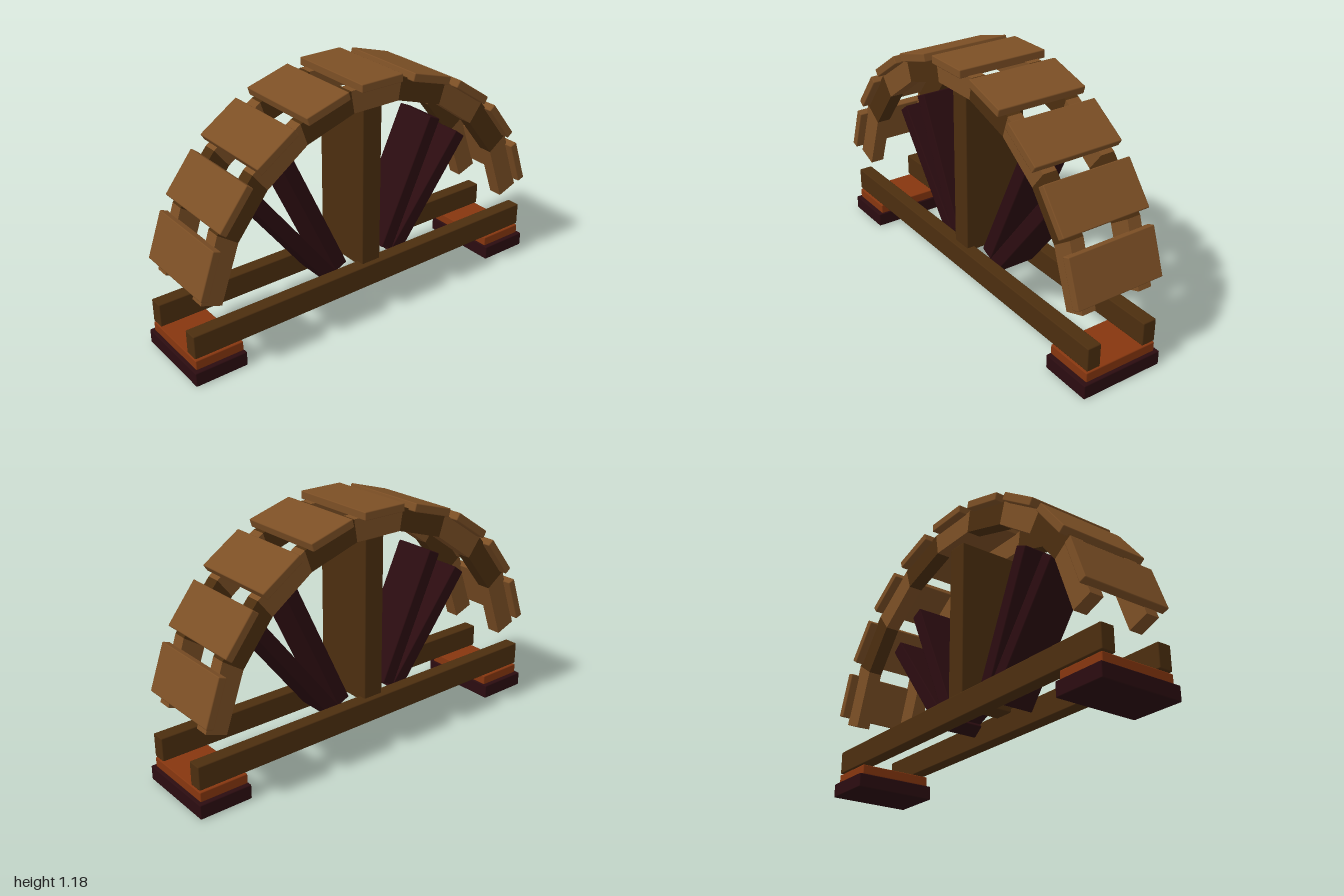
import * as THREE from 'three';
import { RoundedBoxGeometry } from 'three/addons/geometries/RoundedBoxGeometry.js';

const material = (name, color) => {
  const m = new THREE.MeshStandardMaterial({ color });
  m.name = name;
  return m;
};

export function createModel() {
  const group = new THREE.Group();
  const lightWood = material('light wood', 0x7c4f25);
  const darkWood = material('dark wood', 0x4c2e0f);
  const maroon = material('dark maroon wood', 0x2b0c10);
  const rust = material('rust wood', 0x86360f);

  // Beam with slightly softened edges, centred at (x, y, z), turned about z
  const beam = (name, mat, [w, h, d], [x, y, z], angle = 0) => {
    const mesh = new THREE.Mesh(new RoundedBoxGeometry(w, h, d, 1, 0.005), mat);
    mesh.name = name;
    mesh.position.set(x, y, z);
    mesh.rotation.z = angle;
    group.add(mesh);
  };

  // Feet with spacer blocks
  for (const s of [-1, 1]) {
    beam('foot', maroon, [0.26, 0.07, 0.42], [s * 0.87, 0.035, 0]);
    beam('footSpacer', rust, [0.24, 0.048, 0.38], [s * 0.865, 0.094, 0]);
    beam('baseBeam', darkWood, [1.97, 0.115, 0.07], [0, 0.183, s * 0.153]);
  }

  // Central post
  beam('centrePost', darkWood, [0.106, 0.81, 0.32], [0, 0.627, 0]);

  // Slanted braces, given by their two axis ends
  const braces = [
    [[0.187, 0.19], [0.602, 0.728]],
    [[0.14, 0.238], [0.428, 0.857]],
  ];
  for (const s of [-1, 1]) {
    for (const [[x0, y0], [x1, y1]] of braces) {
      const length = Math.hypot(x1 - x0, y1 - y0);
      beam('brace', maroon, [0.07, length, 0.22],
        [s * (x0 + x1) / 2, (y0 + y1) / 2, 0], -s * Math.atan2(x1 - x0, y1 - y0));
    }
  }

  // Joints of the arch on one half: inner x, y and outer x, y
  const half = [
    [0.125, 1.043, 0.143, 1.15],
    [0.375, 0.963, 0.41, 1.067],
    [0.585, 0.813, 0.655, 0.903],
    [0.74, 0.615, 0.838, 0.683],
    [0.837, 0.342, 0.938, 0.38],
  ];
  const mirrored = half.map(([a, b, c, d]) => [-a, b, -c, d]).reverse();
  const joints = [...mirrored, ...half];

  // Two ribs made of nine mitred pieces in alternating wood
  for (const z of [-0.153, 0.153]) {
    for (let i = 0; i < joints.length - 1; i++) {
      const [ax, ay, bx, by] = joints[i];
      const [cx, cy, dx, dy] = joints[i + 1];
      const shape = new THREE.Shape([
        new THREE.Vector2(ax, ay), new THREE.Vector2(cx, cy),
        new THREE.Vector2(dx, dy), new THREE.Vector2(bx, by),
      ]);
      const geometry = new THREE.ExtrudeGeometry(shape, { depth: 0.07, bevelEnabled: false });
      const mesh = new THREE.Mesh(geometry, i % 2 ? darkWood : lightWood);
      mesh.name = 'archRibPiece';
      mesh.position.z = z - 0.035;
      group.add(mesh);
    }
  }

  // Planks over the arch: x, y and slope in degrees
  const planks = [
    [0, 1.165, 0],
    [0.29, 1.118, 16.5],
    [0.551, 0.992, 34],
    [0.763, 0.788, 52],
    [0.903, 0.528, 70.5],
  ];
  for (const [x, y, slope] of planks) {
    for (const s of x ? [-1, 1] : [1]) {
      beam('plank', lightWood, [0.23, 0.04, 0.46], [s * x, y, 0],
        -s * THREE.MathUtils.degToRad(slope));
    }
  }

  return group;
}
